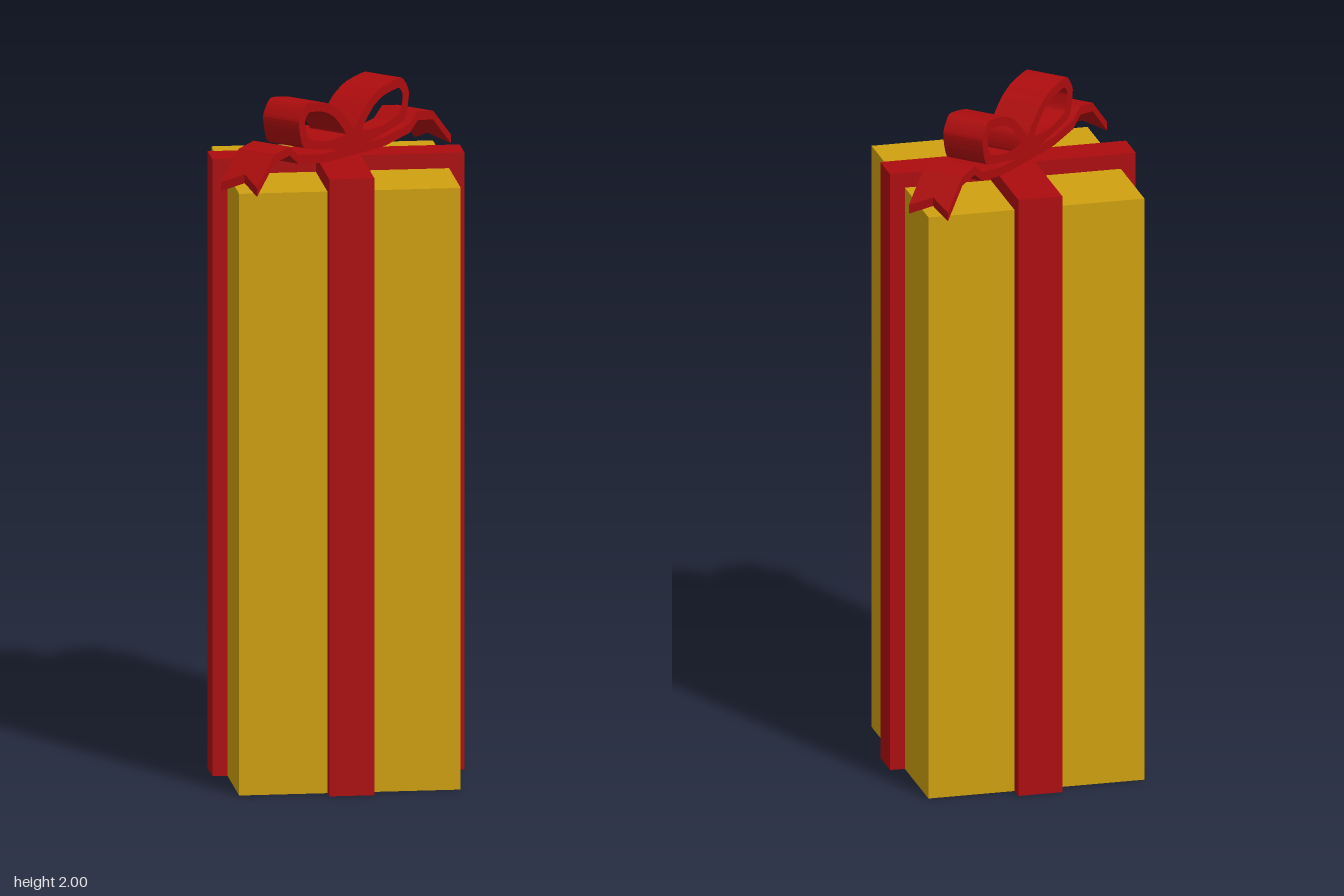
import * as THREE from 'three';

const gold = new THREE.MeshStandardMaterial({ color: 0xcfa00f });
gold.name = 'gold paper';
const red = new THREE.MeshStandardMaterial({ color: 0xad0c0e });
red.name = 'red ribbon';

const HALF = 0.32, HEIGHT = 1.765, OUTER = 0.364, TOP = 1.81;
const BOW_WIDTH = 0.13;

function addMesh(parent, name, geometry, material) {
  const mesh = new THREE.Mesh(geometry, material);
  mesh.name = name;
  parent.add(mesh);
  return mesh;
}

// Extrude a shape in xy, centred on z
function slab(shape, depth) {
  return new THREE.ExtrudeGeometry(shape, { depth, bevelEnabled: false }).translate(0, 0, -depth / 2);
}

// Ribbon wrapping over the box: an upside-down U, open at the bottom
function wrapGeometry(width) {
  const points = [
    [-OUTER, 0], [-HALF, 0], [-HALF, HEIGHT], [HALF, HEIGHT],
    [HALF, 0], [OUTER, 0], [OUTER, TOP], [-OUTER, TOP],
  ].map(([x, y]) => new THREE.Vector2(x, y));
  return slab(new THREE.Shape(points), width);
}

// Bow loop: a rounded teardrop band with a hole through it
function loopGeometry(side) {
  const curve = (points) => new THREE.CatmullRomCurve3(
    points.map(([x, y]) => new THREE.Vector3(x * side, y, 0)), true, 'catmullrom', 0.3,
  ).getPoints(48).slice(0, -1).map((p) => new THREE.Vector2(p.x, p.y));
  const shape = new THREE.Shape(curve([
    [0, 1.885], [0.07, 1.955], [0.13, 1.985], [0.222, 1.998], [0.257, 1.95],
    [0.235, 1.873], [0.13, 1.848], [0, 1.825],
  ]));
  shape.holes.push(new THREE.Path(curve([
    [0.04, 1.878], [0.09, 1.935], [0.14, 1.96], [0.208, 1.97], [0.228, 1.945],
    [0.212, 1.895], [0.13, 1.872],
  ])));
  return slab(shape, BOW_WIDTH);
}

// Tails: one long bent strip with a swallowtail notch at each end
function tailGeometry() {
  const half = [[0.15, 1.825], [0.26, 1.842], [0.3, 1.873], [0.37, 1.862], [0.453, 1.778]];
  const path = [...half.map(([x, y]) => [-x, y]).reverse(), [0, 1.82], ...half];
  const n = path.length - 1;
  const geometry = new THREE.BoxGeometry(1, 1, 1, n, 1, 2);
  const pos = geometry.attributes.position;
  for (let i = 0; i < pos.count; i++) {
    const k = Math.round((pos.getX(i) + 0.5) * n);
    const z = pos.getZ(i);
    let [x, y] = path[k];
    if ((k === 0 || k === n) && Math.abs(z) < 0.1) {
      const [px, py] = path[k === 0 ? 1 : n - 1];
      x += (px - x) * 0.32;
      y += (py - y) * 0.32;
    }
    pos.setXYZ(i, x, y + pos.getY(i) * 0.026, z * BOW_WIDTH);
  }
  const flat = geometry.toNonIndexed();
  flat.computeVertexNormals();
  return flat;
}

export function createModel() {
  const model = new THREE.Group();
  model.name = 'giftBox';

  addMesh(model, 'box', new THREE.BoxGeometry(HALF * 2, HEIGHT, HALF * 2).translate(0, HEIGHT / 2, 0), gold);

  // Crossed ribbons
  addMesh(model, 'sideRibbon', wrapGeometry(0.108), red);
  addMesh(model, 'frontRibbon', wrapGeometry(0.13), red).rotation.y = Math.PI / 2;

  // Bow set diagonally across the top
  const bow = new THREE.Group();
  bow.name = 'bow';
  bow.rotation.y = Math.PI / 4;
  addMesh(bow, 'leftLoop', loopGeometry(1), red);
  addMesh(bow, 'rightLoop', loopGeometry(-1), red);
  addMesh(bow, 'bowTails', tailGeometry(), red);
  model.add(bow);

  return model;
}
